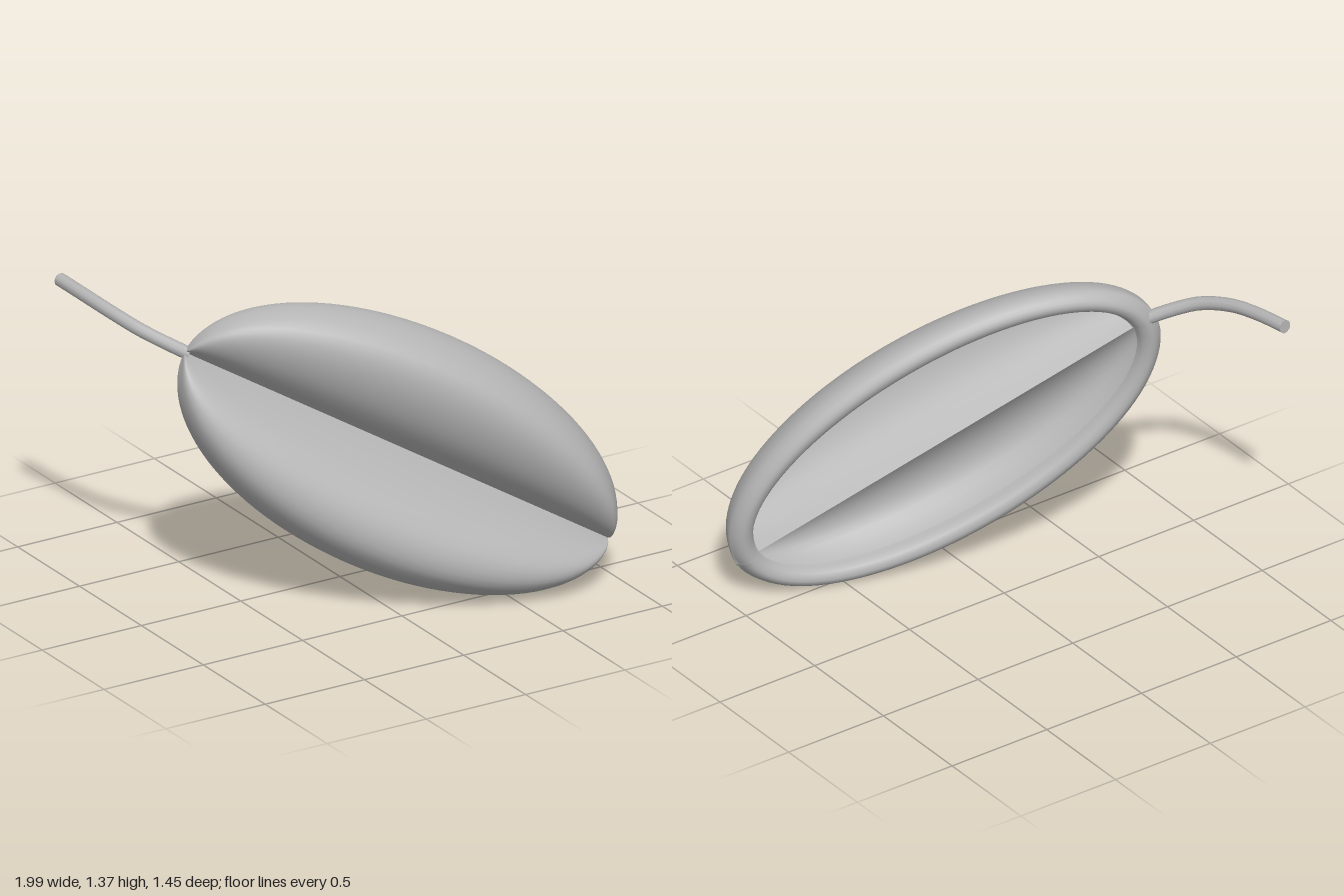
import * as THREE from 'three';

const STEM_END = new THREE.Vector3(-0.73, 1.18, -0.09);
const TIP_END = new THREE.Vector3(0.965, 0.187, 0.615);

// Half cross-section, crease to curled lip: [share of half width, inset from the rim, height]
const PROFILE = [
  [0, 0, 0], [0.1, 0, 0.075], [0.25, 0, 0.158], [0.45, 0, 0.22], [0.65, 0, 0.242],
  [0.82, 0, 0.215], [0.95, 0, 0.13], [1, 0, 0.04], [1, 0.015, -0.01],
  [1, 0.052, -0.036], [1, 0.095, -0.018], [1, 0.11, 0.03],
].map((p) => new THREE.Vector3(...p));

// One lobe: the profile swept along an elliptical outline, fuller towards the tip
function lobeGeometry(halfLength, halfWidth, depth, side) {
  const rows = 56, cols = 30;
  const section = new THREE.CatmullRomCurve3(PROFILE).getPoints(cols);
  const pos = [], index = [];
  for (let i = 0; i <= rows; i++) {
    const phi = THREE.MathUtils.lerp(0.001, Math.PI - 0.001, i / rows);
    const c = Math.cos(phi), s = Math.sin(phi);
    for (const p of section) {
      const lift = p.z > 0 ? p.z * depth * Math.pow(s, 0.65) * (1 + 0.12 * c) : p.z;
      pos.push((halfLength - p.y) * c, side * p.x * (halfWidth - p.y) * s, lift);
    }
  }
  const w = cols + 1;
  for (let i = 0; i < rows; i++) {
    for (let j = 0; j < cols; j++) {
      const a = i * w + j, b = a + 1, d = a + w, e = d + 1;
      if (side > 0) index.push(a, d, b, b, d, e);
      else index.push(a, b, d, b, e, d);
    }
  }
  const g = new THREE.BufferGeometry();
  g.setAttribute('position', new THREE.Float32BufferAttribute(pos, 3));
  g.setIndex(index);
  g.computeVertexNormals();
  return g;
}

export function createModel() {
  const group = new THREE.Group();
  const grey = new THREE.MeshStandardMaterial({ color: 0xb4b4b4, side: THREE.DoubleSide });
  grey.name = 'plain grey';

  const add = (parent, name, geometry) => {
    const mesh = new THREE.Mesh(geometry, grey);
    mesh.name = name;
    parent.add(mesh);
    return mesh;
  };

  // Creased pod: two hollow lobes sharing a straight midline
  const pod = new THREE.Group();
  pod.name = 'pod';
  const along = TIP_END.clone().sub(STEM_END);
  const halfLength = along.length() / 2;
  along.normalize();
  const across = new THREE.Vector3(-0.324, 0.104, 0.936).cross(along).normalize();
  const out = along.clone().cross(across);
  pod.quaternion.setFromRotationMatrix(new THREE.Matrix4().makeBasis(along, across, out));
  pod.position.copy(STEM_END).add(TIP_END).multiplyScalar(0.5);
  add(pod, 'upperLobe', lobeGeometry(halfLength, 0.535, 1, 1));
  add(pod, 'lowerLobe', lobeGeometry(halfLength, 0.545, 1.16, -1));
  group.add(pod);

  // Curved stem with a flat cut end
  const stem = new THREE.Group();
  stem.name = 'stem';
  const path = new THREE.CatmullRomCurve3([
    [-0.71, 1.17, -0.08], [-0.77, 1.205, -0.13], [-0.86, 1.26, -0.23],
    [-0.92, 1.305, -0.38], [-0.95, 1.33, -0.54], [-0.968, 1.345, -0.71],
  ].map((p) => new THREE.Vector3(...p)));
  add(stem, 'stalk', new THREE.TubeGeometry(path, 20, 0.03, 10));
  const cap = add(stem, 'cutEnd', new THREE.CircleGeometry(0.03, 10));
  cap.position.copy(path.getPoint(1));
  cap.quaternion.setFromUnitVectors(new THREE.Vector3(0, 0, 1), path.getTangent(1));
  group.add(stem);

  return group;
}
